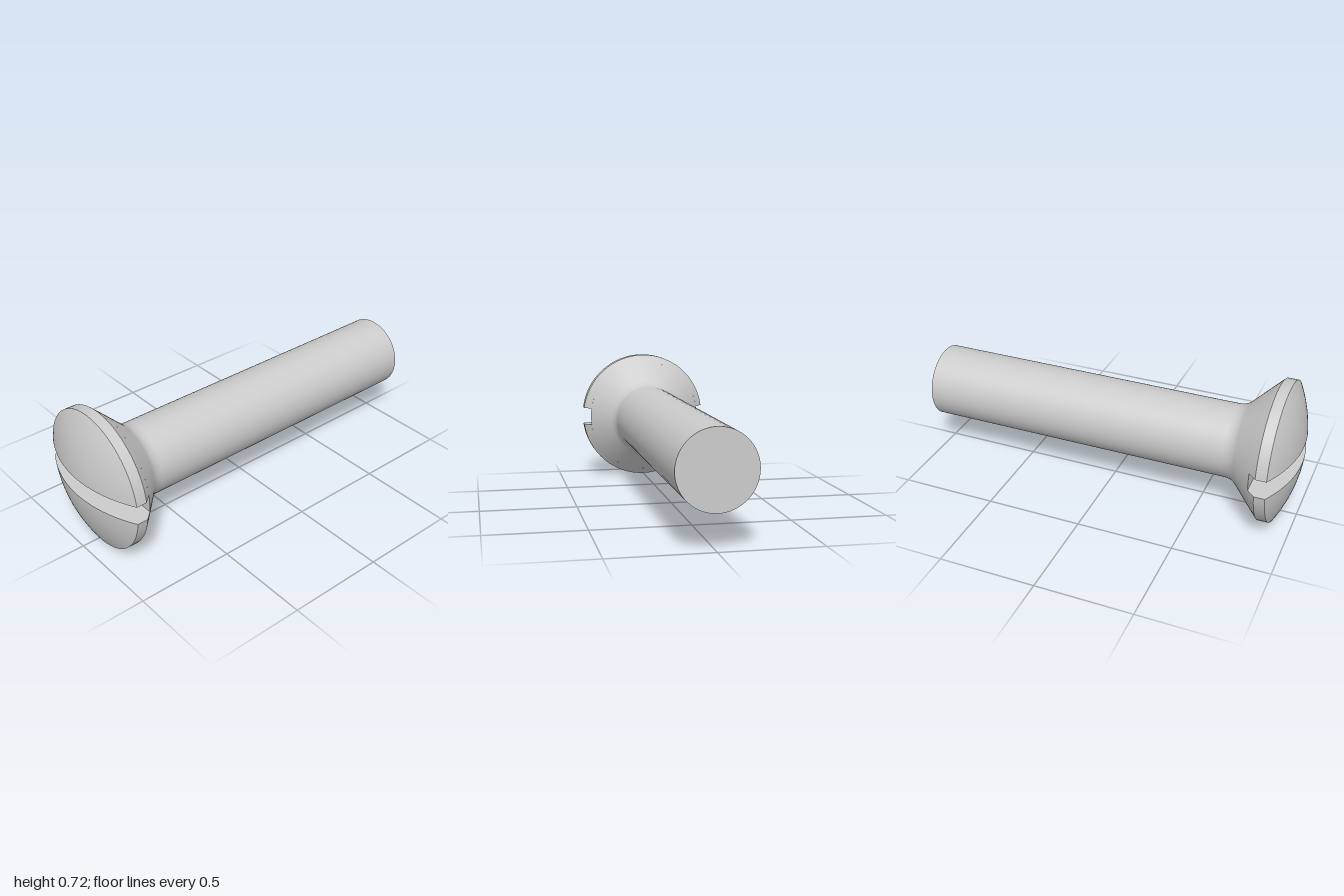
import * as THREE from 'three';

const R = 0.362;        // head radius
const SHANK = 0.19;     // shank radius
const SLOT = 0.049;     // half the slot width
const FLOOR_X = -0.81;  // bottom of the slot
const FLOOR_R = 0.323;  // cone radius at the slot floor
const SEG = 64;

// Surface through equal-length rows of [x, y, z] points
function grid(rows) {
  const n = rows[0].length, index = [];
  for (let i = 0; i < rows.length - 1; i++) {
    for (let j = 0; j < n - 1; j++) {
      const a = i * n + j, b = a + n;
      index.push(a, b, b + 1, a, b + 1, a + 1);
    }
  }
  const g = new THREE.BufferGeometry();
  g.setAttribute('position', new THREE.Float32BufferAttribute(rows.flat(2), 3));
  g.setIndex(index);
  g.computeVertexNormals();
  return g;
}

// Arc of a circle of radius r, cut off at the slot wall
function arc([x, r]) {
  const a0 = Math.asin(SLOT / r);
  return Array.from({ length: SEG / 2 + 1 }, (_, j) => {
    const a = a0 + (Math.PI - 2 * a0) * j / (SEG / 2);
    return [x, r * Math.sin(a), r * Math.cos(a)];
  });
}

// Dome stations [x, radius] from the slot edge to the rim
function domeStations() {
  const rise = 0.095, ball = (R * R + rise * rise) / (2 * rise);
  const zMax = Math.sqrt(R * R - SLOT * SLOT), out = [];
  for (let i = 0; i <= 16; i++) {
    const r = Math.hypot(SLOT, zMax * Math.max(i / 16, 0.01));
    out.push([-1 + ball - Math.sqrt(ball * ball - r * r), r]);
  }
  return out;
}

export function createModel() {
  const screw = new THREE.Group();
  screw.name = 'screw';
  screw.position.y = R;
  const material = new THREE.MeshStandardMaterial({ color: 0xcccccc });
  const add = (parent, name, geometry) => {
    const mesh = new THREE.Mesh(geometry, material);
    mesh.name = name;
    parent.add(mesh);
    return mesh;
  };

  // Two head halves either side of the slot
  const dome = domeStations();
  const rim = [[-0.905, R], [-0.85, R]];
  const cone = [[-0.85, R], [FLOOR_X, FLOOR_R]];
  const wall = [...dome, rim[1], cone[1]].map(([x, r]) => {
    const z = Math.sqrt(r * r - SLOT * SLOT);
    return [[x, SLOT, -z], [x, SLOT, z]];
  });
  for (const side of ['upper', 'lower']) {
    const half = new THREE.Group();
    half.name = side + 'HeadHalf';
    add(half, 'dome', grid(dome.map(arc)));
    add(half, 'rim', grid(rim.map(arc)));
    add(half, 'headCone', grid(cone.map(arc)));
    add(half, 'slotWall', grid(wall));
    if (side === 'lower') half.rotation.x = Math.PI;
    screw.add(half);
  }

  // Slot floor with rounded ends
  const floor = [];
  for (let i = 0; i <= 8; i++) {
    const y = SLOT * (i / 4 - 1), z = Math.sqrt(FLOOR_R * FLOOR_R - y * y);
    floor.push([[FLOOR_X, y, z], [FLOOR_X, y, -z]]);
  }
  add(screw, 'slotFloor', grid(floor));

  // Underside of the head, fillet and shank
  const fillet = new THREE.QuadraticBezierCurve(
    new THREE.Vector2(0.218, -0.706),
    new THREE.Vector2(SHANK, -0.678),
    new THREE.Vector2(SHANK, -0.638)
  );
  const profile = [new THREE.Vector2(FLOOR_R, FLOOR_X), ...fillet.getPoints(8), new THREE.Vector2(SHANK, 1)];
  add(screw, 'shank', new THREE.LatheGeometry(profile, SEG).rotateZ(-Math.PI / 2));

  // Flat tip
  const tip = add(screw, 'shankEnd', new THREE.CircleGeometry(SHANK, SEG).rotateY(Math.PI / 2));
  tip.position.x = 1;

  return screw;
}
